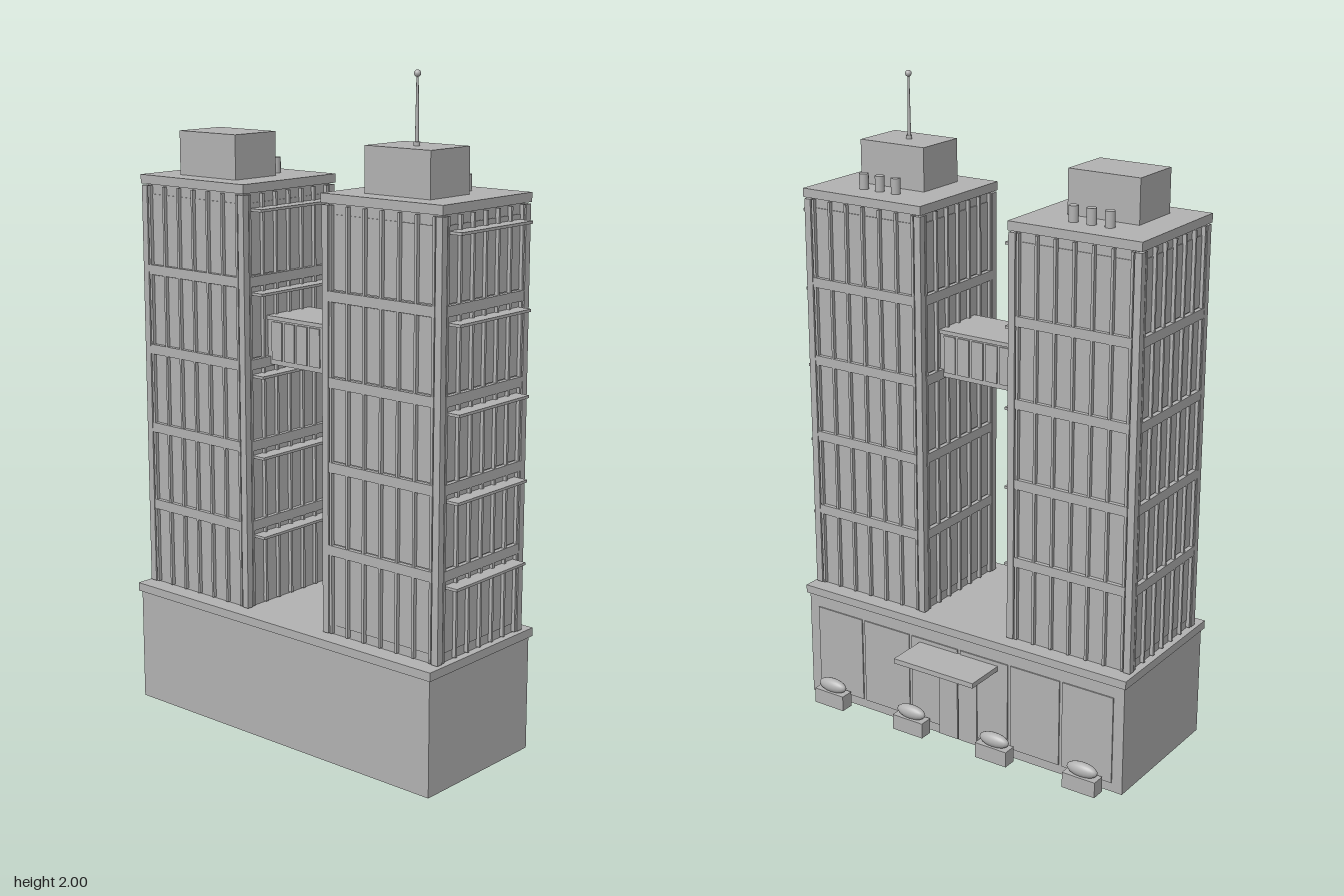
import * as THREE from 'three';

export function createModel() {
  const model = new THREE.Group();
  model.name = 'twinTowerBuilding';
  const concrete = new THREE.MeshStandardMaterial({ color: 0xb2b2b2 });
  concrete.name = 'concrete grey';

  const add = (parent, name, geometry, x, y, z) => {
    const mesh = new THREE.Mesh(geometry, concrete);
    mesh.name = name;
    mesh.position.set(x, y, z);
    parent.add(mesh);
    return mesh;
  };
  // Box given by its minimum and maximum on each axis
  const box = (parent, name, x0, x1, y0, y1, z0, z1) =>
    add(parent, name, new THREE.BoxGeometry(x1 - x0, y1 - y0, z1 - z0),
      (x0 + x1) / 2, (y0 + y1) / 2, (z0 + z1) / 2);
  const group = (parent, name, x = 0, y = 0, z = 0) => {
    const g = new THREE.Group();
    g.name = name;
    g.position.set(x, y, z);
    parent.add(g);
    return g;
  };

  // Podium with its projecting cap
  box(model, 'podium', -0.594, 0.567, 0, 0.354, -0.168, 0.298);
  box(model, 'podiumCap', -0.602, 0.575, 0.352, 0.378, -0.177, 0.306);

  // Shopfront, entrance and canopy on the back
  const bays = 6, bayWidth = 1.1 / bays;
  for (let i = 0; i < bays; i++) {
    const x = -0.564 + i * bayWidth;
    box(model, 'shopWindow', x + 0.005, x + bayWidth - 0.005, 0.03, 0.31, -0.172, -0.167);
  }
  for (const s of [-1, 1]) {
    const x = -0.0125 + s * 0.036;
    box(model, 'entranceDoor', x - 0.034, x + 0.034, 0.004, 0.22, -0.176, -0.167);
  }
  box(model, 'entranceCanopy', -0.157, 0.132, 0.281, 0.297, -0.306, -0.167);

  // Planters with clipped shrubs
  for (let i = 0; i < 4; i++) {
    const planter = group(model, 'planter', -0.48 + i * 0.3115, 0, -0.207);
    box(planter, 'planterBox', -0.056, 0.056, 0, 0.05, -0.022, 0.022);
    add(planter, 'shrub', new THREE.SphereGeometry(1, 20, 12), 0, 0.067, 0).scale.set(0.052, 0.023, 0.02);
  }

  // One facade facing +z: window panes, mullions and floor bands
  const base = 0.388, storey = 0.247, storeys = 5, top = base + storey * storeys;
  const addFacade = (tower, half, distance, angle) => {
    const facade = group(tower, 'facade');
    facade.rotation.y = angle;
    const count = 6, step = (half * 2) / count;
    for (let i = 0; i <= count; i++) {
      const x = -half + i * step;
      box(facade, 'mullion', x - 0.004, x + 0.004, base - 0.006, top + 0.008, distance - 0.002, distance + 0.012);
      if (i === count) continue;
      for (let f = 0; f < storeys; f++) {
        const y = base + f * storey;
        box(facade, 'windowPane', x + 0.006, x + step - 0.006, y + 0.018, y + storey - 0.018,
          distance - 0.001, distance + 0.003);
      }
    }
    for (let f = 1; f < storeys; f++) {
      const y = base + f * storey;
      box(facade, 'floorBand', -half - 0.006, half + 0.006, y - 0.015, y + 0.015, distance - 0.002, distance + 0.0135);
    }
  };

  const addTower = (name, x) => {
    const tower = group(model, name, x, 0, 0.0625);
    box(tower, 'towerCore', -0.2, 0.2, 0.376, 1.638, -0.185, 0.185);
    for (const sx of [-1, 1]) for (const sz of [-1, 1]) {
      add(tower, 'cornerPost', new THREE.BoxGeometry(0.022, 1.25, 0.022), sx * 0.202, 1.006, sz * 0.187);
    }
    for (const s of [0, 1]) {
      addFacade(tower, 0.183, 0.185, s * Math.PI);
      addFacade(tower, 0.168, 0.2, Math.PI / 2 + s * Math.PI);
    }
    // Sunshades on the left side
    for (let f = 0; f < storeys; f++) {
      const y = 0.6 + f * 0.2465;
      box(tower, 'sunshade', 0.198, 0.2485, y - 0.004, y + 0.004, -0.16, 0.16);
    }
    // Roof slab, plant room and vents
    box(tower, 'roofSlab', -0.215, 0.215, 1.636, 1.663, -0.2, 0.2);
    box(tower, 'plantRoom', -0.116, 0.116, 1.66, 1.795, -0.043, 0.129);
    for (let i = -1; i <= 1; i++) {
      add(tower, 'roofVent', new THREE.CylinderGeometry(0.0145, 0.0145, 0.052, 16), i * 0.0585, 1.684, -0.105);
    }
    return tower;
  };
  addTower('rightTower', -0.378);
  const leftTower = addTower('leftTower', 0.3515);

  // Antenna
  add(leftTower, 'antennaBase', new THREE.CylinderGeometry(0.009, 0.009, 0.012, 16), 0, 1.8, 0.0445);
  add(leftTower, 'antennaMast', new THREE.CylinderGeometry(0.003, 0.006, 0.2, 12), 0, 1.892, 0.0445);
  add(leftTower, 'antennaBall', new THREE.SphereGeometry(0.01, 16, 12), 0, 1.99, 0.0445);

  // Skybridge between the towers
  box(model, 'skybridge', -0.18, 0.153, 1.12, 1.258, -0.026, 0.151);
  box(model, 'skybridgeRoof', -0.178, 0.151, 1.255, 1.267, -0.031, 0.156);
  for (const [z0, z1] of [[-0.03, -0.025], [0.15, 0.155]]) {
    for (let i = 0; i < 6; i++) {
      const x = -0.162 + i * 0.05;
      box(model, 'skybridgeWindow', x + 0.005, x + 0.045, 1.135, 1.25, z0, z1);
    }
  }
  return model;
}
